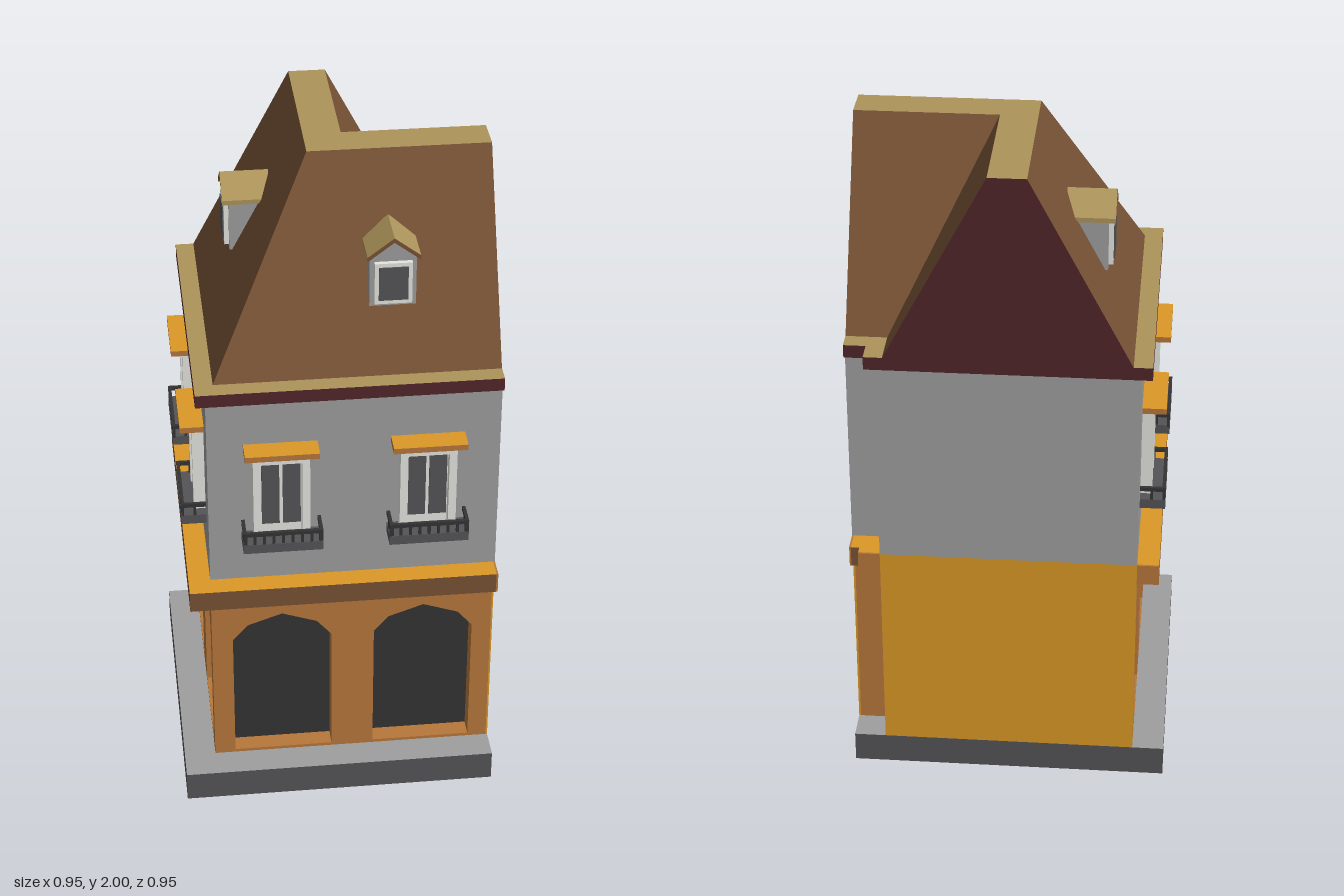
import * as THREE from 'three';

const paint = (name, color) => {
  const m = new THREE.MeshStandardMaterial({ color });
  m.name = name;
  return m;
};

export function createModel() {
  const stone = paint('stone grey', 0x9e9e9e);
  const yellow = paint('ochre yellow', 0xdb9827);
  const orange = paint('terracotta', 0xb7773b);
  const brown = paint('roof brown', 0x775235);
  const tan = paint('tan', 0xad945a);
  const red = paint('dark red', 0x51252a);
  const slate = paint('dark grey', 0x545457);
  const black = paint('near black', 0x343434);
  const white = paint('frame white', 0xe4e4e0);

  const END = 0.475; // cut ends of both wings
  const model = new THREE.Group();
  model.name = 'cornerHouse';

  const add = (parent, name, geometry, material) => {
    const mesh = new THREE.Mesh(geometry, material);
    mesh.name = name;
    parent.add(mesh);
    return mesh;
  };
  // Box given by its limits on each axis
  const box = (parent, name, material, x0, x1, y0, y1, z0, z1) => {
    const g = new THREE.BoxGeometry(x1 - x0, y1 - y0, z1 - z0);
    g.translate((x0 + x1) / 2, (y0 + y1) / 2, (z0 + z1) / 2);
    return add(parent, name, g, material);
  };
  const shapeOf = (pts) => new THREE.Shape(pts.map(([x, y]) => new THREE.Vector2(x, y)));
  const extrude = (shape, z0, z1) => {
    const g = new THREE.ExtrudeGeometry(shape, { depth: z1 - z0, bevelEnabled: false });
    return g.translate(0, 0, z0);
  };
  // L-shaped storey: o = outer offset, n = courtyard notch offset
  const storey = (name, material, o, n, y0, y1, end = END) => {
    const shape = shapeOf([[-o, -o], [end, -o], [end, n], [n, n], [n, end], [-o, end]]);
    const g = extrude(shape, 0, y1 - y0).rotateX(-Math.PI / 2).translate(0, y0, 0);
    return add(model, name, g, material);
  };

  // Plinth with paved top
  box(model, 'plinth', [slate, slate, stone, slate, slate, slate], -END, END, 0, 0.095, -END, END);

  // Storeys, ledge and eaves
  storey('groundFloorCore', orange, 0.32, 0.38, 0.095, 0.7, 0.47);
  storey('ledge', brown, 0.445, 0.445, 0.7, 0.76, 0.47);
  storey('ledgeTop', [yellow, brown], 0.445, 0.445, 0.76, 0.765, 0.47);
  storey('upperFloor', stone, 0.38, 0.38, 0.765, 1.39);
  storey('eaves', red, 0.41, 0.41, 1.39, 1.425);
  storey('eavesTop', [tan, red], 0.41, 0.41, 1.425, 1.43);

  // Flat polygon from corners in counter-clockwise order
  const quad = (parent, name, material, a, b, c, d) => {
    const g = new THREE.BufferGeometry();
    g.setAttribute('position', new THREE.Float32BufferAttribute([a, b, c, a, c, d].flat(), 3));
    g.computeVertexNormals();
    return add(parent, name, g, material);
  };

  const arch = (cx) => [
    [-0.15, 0.105], [0.15, 0.105], [0.15, 0.532], [0.105, 0.585],
    [0, 0.622], [-0.105, 0.585], [-0.15, 0.532],
  ].map(([x, y]) => [cx + x, y]);

  // Window with lintel and small railed balcony, centred on x = 0
  const makeWindow = () => {
    const w = new THREE.Group();
    w.name = 'balconyWindow';
    const frame = shapeOf([[-0.083, 0.92], [0.083, 0.92], [0.083, 1.215], [-0.083, 1.215]]);
    frame.holes.push(shapeOf([[-0.06, 0.93], [-0.06, 1.185], [0.06, 1.185], [0.06, 0.93]]));
    add(w, 'windowFrame', extrude(frame, 0.378, 0.415), white);
    box(w, 'sash', white, -0.062, 0.062, 0.925, 1.19, 0.378, 0.388);
    for (const s of [-1, 1]) {
      box(w, 'windowPane', slate, s * 0.031 - 0.026, s * 0.031 + 0.026, 0.965, 1.18, 0.387, 0.393);
    }
    box(w, 'lintel', [orange, orange, yellow, orange, orange, orange],
      -0.108, 0.108, 1.22, 1.238, 0.378, 0.45);

    box(w, 'balconyBase', slate, -0.117, 0.117, 0.905, 0.935, 0.378, 0.455);
    box(w, 'frontRail', black, -0.117, 0.117, 0.963, 0.975, 0.445, 0.455);
    for (const s of [-1, 1]) {
      box(w, 'sideRail', black, s * 0.112 - 0.005, s * 0.112 + 0.005, 0.963, 0.975, 0.378, 0.446);
      box(w, 'sideBaluster', black, s * 0.112 - 0.004, s * 0.112 + 0.004, 0.93, 0.965, 0.41, 0.418);
    }
    const count = 9;
    for (let i = 0; i < count; i++) {
      const x = -0.111 + (0.222 * i) / (count - 1);
      const r = i === 0 || i === count - 1 ? 0.006 : 0.004;
      box(w, 'baluster', black, x - r, x + r, 0.93, 0.965, 0.446, 0.454);
    }
    return w;
  };

  // Gabled roof window, centred on x = 0
  const makeDormer = () => {
    const d = new THREE.Group();
    d.name = 'dormer';
    const wall = shapeOf([[-0.067, 1.61], [0.067, 1.61], [0.067, 1.771], [0, 1.822], [-0.067, 1.771]]);
    add(d, 'dormerWall', extrude(wall, 0.15, 0.268), stone);
    const roof = shapeOf([[-0.076, 1.763], [0, 1.821], [0.076, 1.763],
      [0.076, 1.777], [0, 1.835], [-0.076, 1.777]]);
    add(d, 'dormerRoof', extrude(roof, 0.146, 0.288), [brown, tan]);
    box(d, 'dormerFrame', white, -0.054, 0.054, 1.622, 1.752, 0.262, 0.282);
    box(d, 'dormerPane', slate, -0.042, 0.042, 1.635, 1.74, 0.28, 0.286);
    return d;
  };

  // One street wing; the second is its mirror image across the corner
  const makeWing = (name) => {
    const wing = new THREE.Group();
    wing.name = name;
    const facade = shapeOf([[-0.38, 0.095], [0.47, 0.095], [0.47, 0.7], [-0.38, 0.7]]);
    for (const cx of [-0.167, 0.262]) {
      facade.holes.push(shapeOf(arch(cx)));
      box(wing, 'archBack', black, cx - 0.152, cx + 0.152, 0.1, 0.64, 0.318, 0.325);
      const w = makeWindow();
      w.position.x = cx;
      wing.add(w);
    }
    add(wing, 'arcadeWall', extrude(facade, 0.32, 0.38), orange);

    // Party wall at the cut end, with the ledge ends beside it
    box(wing, 'partyWall', yellow, 0.469, END, 0.095, 0.765, -0.38, 0.38);
    for (const s of [-1, 1]) {
      box(wing, 'ledgeEnd', orange, 0.469, END, 0.7, 0.765,
        Math.min(s * 0.38, s * 0.445), Math.max(s * 0.38, s * 0.445));
    }

    // Mitred roof: outer slope, flat ridge, courtyard slope, gable
    const profile = [[0.355, 1.43], [0.055, 2], [-0.055, 2], [-0.355, 1.43]];
    const faces = [['outerSlope', brown], ['ridge', tan], ['innerSlope', brown]];
    faces.forEach(([label, material], i) => {
      const [d0, y0] = profile[i];
      const [d1, y1] = profile[i + 1];
      quad(wing, label, material, [-d0, y0, d0], [END, y0, d0], [END, y1, d1], [-d1, y1, d1]);
    });
    const [a, b, c, d] = profile.map(([z, y]) => [END, y, z]);
    quad(wing, 'gable', red, a, d, c, b);

    const dormer = makeDormer();
    dormer.position.x = 0.168;
    wing.add(dormer);
    return wing;
  };

  const sideWing = makeWing('sideWing');
  sideWing.rotation.y = Math.PI / 2;
  sideWing.scale.z = -1;
  model.add(makeWing('frontWing'), sideWing);
  return model;
}
